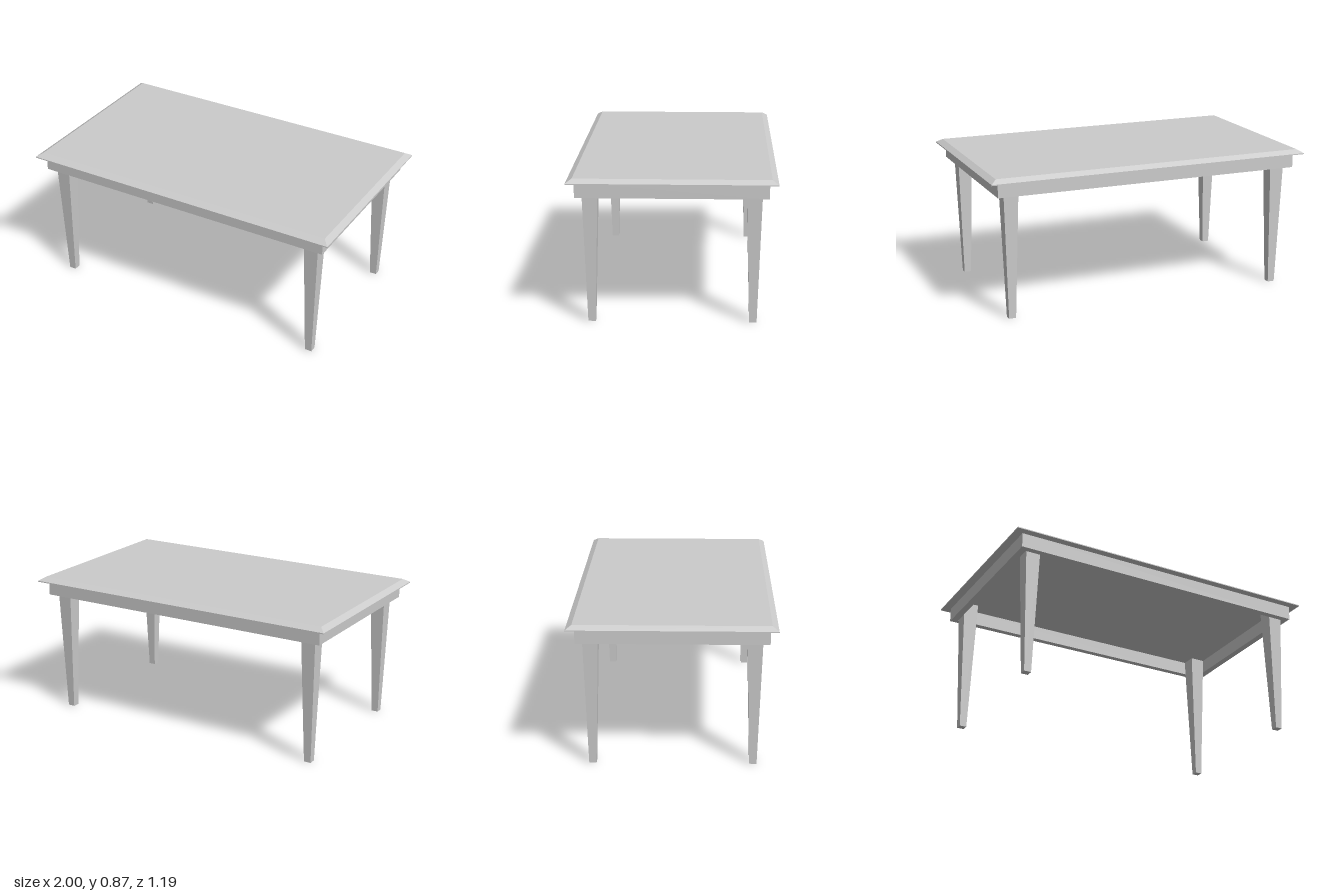
import * as THREE from 'three';

const material = new THREE.MeshStandardMaterial({ color: 0xcccccc, flatShading: true });

// Stack of centred rectangles, each level [y, width, depth], as one closed solid
function steppedBox(levels) {
  const box = new THREE.BoxGeometry(1, 1, 1, 1, levels.length - 1, 1);
  const p = box.attributes.position;
  for (let i = 0; i < p.count; i++) {
    const [y, w, d] = levels[Math.round((p.getY(i) + 0.5) * (levels.length - 1))];
    p.setXYZ(i, p.getX(i) * w, y, p.getZ(i) * d);
  }
  const flat = box.toNonIndexed();
  flat.computeVertexNormals();
  return flat;
}

function rectangle(path, w, d) {
  path.moveTo(-w / 2, -d / 2);
  path.lineTo(w / 2, -d / 2);
  path.lineTo(w / 2, d / 2);
  path.lineTo(-w / 2, d / 2);
  path.closePath();
  return path;
}

export function createModel() {
  const table = new THREE.Group();
  table.name = 'table';
  const add = (name, geometry, x, y, z) => {
    const mesh = new THREE.Mesh(geometry, material);
    mesh.name = name;
    mesh.position.set(x, y, z);
    table.add(mesh);
  };

  // Table top: thin square edge, then a wide bevel up to the flat surface
  add('tableTop', steppedBox([[0.84, 2, 1.186], [0.846, 2, 1.186], [0.868, 1.93, 1.114]]), 0, 0, 0);

  // Apron: open rectangular frame under the top
  const frame = rectangle(new THREE.Shape(), 1.9, 1.092);
  frame.holes.push(rectangle(new THREE.Path(), 1.816, 1.016));
  const apron = new THREE.ExtrudeGeometry(frame, { depth: 0.088, bevelEnabled: false });
  apron.rotateX(-Math.PI / 2);
  add('apron', apron, 0, 0.752, 0.002);

  // Four tapered square legs, standing inside the apron corners
  const leg = steppedBox([[0, 0.043, 0.043], [0.84, 0.094, 0.094]]);
  for (const [side, x] of [['Left', 0.861], ['Right', -0.861]]) {
    add('front' + side + 'Leg', leg, x, 0, 0.466);
    add('back' + side + 'Leg', leg, x, 0, -0.462);
  }
  return table;
}
